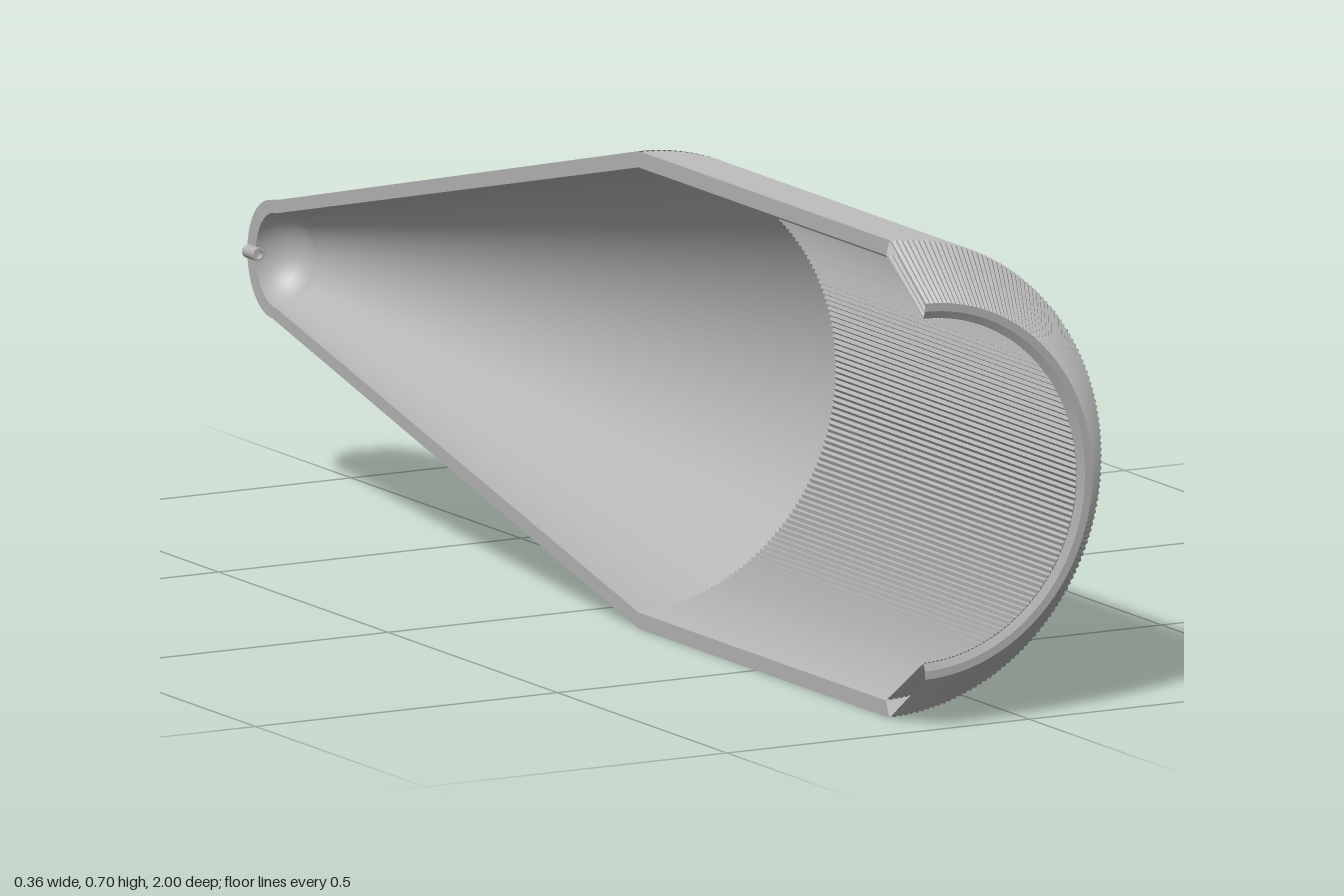
import * as THREE from 'three';

const AXIS_X = -0.172, AXIS_Y = 0.352;
const RIBS = 120; // ridges around the half circle

export function createModel() {
  const model = new THREE.Group();
  const grey = new THREE.MeshStandardMaterial({ color: 0xb4b4b4, side: THREE.DoubleSide });
  const greyFlat = new THREE.MeshStandardMaterial({ color: 0xb4b4b4, side: THREE.DoubleSide, flatShading: true });
  grey.name = 'grey';
  greyFlat.name = 'faceted grey';

  function add(name, geometry, material = grey) {
    const mesh = new THREE.Mesh(geometry, material);
    mesh.name = name;
    mesh.position.set(AXIS_X, AXIS_Y, 0);
    model.add(mesh);
  }

  // Half revolution about the z axis; points are [radius, z], rising z faces outward
  function revolve(points, segments = 64, sweep = Math.PI) {
    const profile = points.map(([r, z]) => new THREE.Vector2(r, z));
    return new THREE.LatheGeometry(profile, segments, 0, sweep).rotateX(Math.PI / 2);
  }

  // Same, with every other column pulled inward to form fine ridges
  function ribbed(points, depth) {
    const g = revolve(points, RIBS * 2);
    const p = g.attributes.position, n = points.length;
    for (let i = 0; i < p.count; i++) {
      if (Math.floor(i / n) % 2 === 0) continue;
      const r = Math.hypot(p.getX(i), p.getY(i));
      const s = (r - depth) / r;
      p.setXY(i, p.getX(i) * s, p.getY(i) * s);
    }
    g.computeVertexNormals();
    return g;
  }

  // Rounded tip profile from the apex out to the cone
  function dome(apex, baseZ, radius) {
    const pts = [];
    for (let i = 0; i <= 10; i++) {
      const a = (i / 10) * Math.PI / 2;
      pts.push([radius * Math.sin(a), baseZ + (apex - baseZ) * Math.cos(a)]);
    }
    return pts;
  }

  const outerTip = dome(-1, -0.925, 0.087);
  const innerTip = dome(-0.975, -0.915, 0.07);

  // Outer skin
  add('outerTip', revolve(outerTip));
  add('outerCone', revolve([[0.087, -0.925], [0.352, 0.155]]));
  add('outerBarrel', ribbed([[0.352, 0.155], [0.352, 0.895]], 0.004), greyFlat);
  add('outerChamfer', ribbed([[0.352, 0.895], [0.277, 1]], 0.003), greyFlat);

  // Inner skin
  add('innerTip', revolve(innerTip.slice().reverse()));
  add('innerCone', revolve([[0.328, 0.155], [0.07, -0.915]]));
  add('innerBarrel', ribbed([[0.328, 0.885], [0.328, 0.155]], 0.004), greyFlat);
  add('innerChamfer', ribbed([[0.254, 0.995], [0.328, 0.885]], 0.002), greyFlat);

  // Stepped rim of the opening
  add('outerRim', revolve([[0.277, 1], [0.265, 1]]));
  add('innerRim', revolve([[0.265, 1], [0.254, 0.995]]));

  // Flat wall edge on the split plane, up to the start of the chamfer
  const outline = [[0.352, 0.895], [0.352, 0.155], ...outerTip.slice().reverse()];
  const inside = [[0.328, 0.885], [0.328, 0.155], ...innerTip.slice().reverse()];
  const mirror = (pts) => pts.slice(0, -1).reverse().map(([r, z]) => [-r, z]);
  const loop = [...outline, ...mirror(outline), ...[...inside, ...mirror(inside)].reverse()];
  const wall = new THREE.Shape(loop.map(([r, z]) => new THREE.Vector2(z, r)));
  add('splitEdge', new THREE.ShapeGeometry(wall).rotateY(-Math.PI / 2));

  // Small tube through the tip
  add('tipTube', revolve(
    [[0.006, -0.965], [0.006, -0.998], [0.01, -0.998], [0.01, -0.965], [0.006, -0.965]], 16, Math.PI * 2), greyFlat);

  return model;
}
